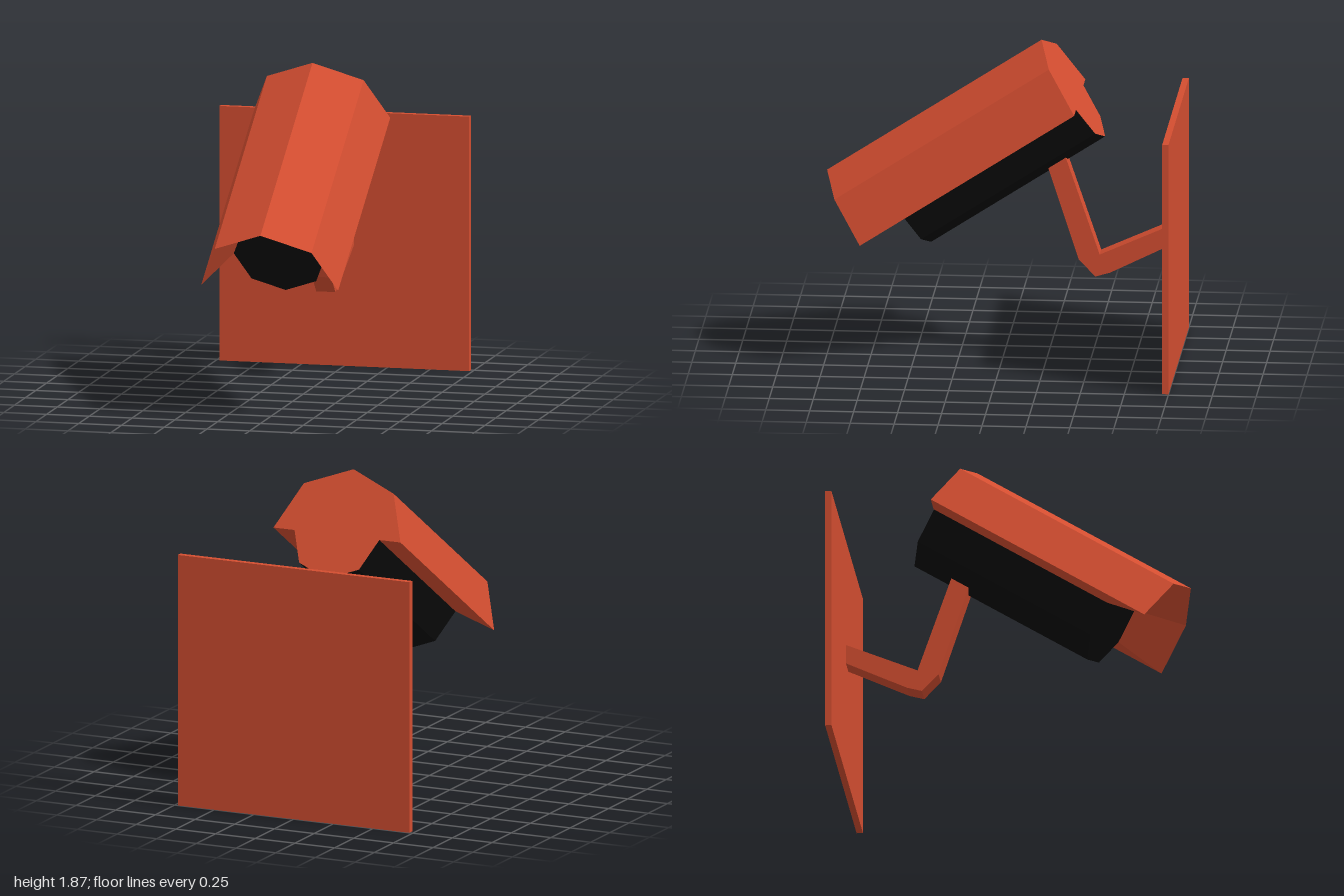
import * as THREE from 'three';

const paint = new THREE.MeshStandardMaterial({ color: 0xd24d30, flatShading: true });
const black = new THREE.MeshStandardMaterial({ color: 0x0b0b0b, flatShading: true });

const SHADE_R = 0.4, SHADE_LEN = 1.453;
const BODY_R = 0.267, BODY_LEN = 1.18;

function part(name, geometry, material, parent) {
  const mesh = new THREE.Mesh(geometry, material);
  mesh.name = name;
  parent.add(mesh);
  return mesh;
}

// Upper half of an octagon, from +x over the top to -x
function halfOctagon(r, z) {
  return Array.from({ length: 5 }, (_, i) => {
    const a = (i * Math.PI) / 4;
    return [r * Math.cos(a), r * Math.sin(a), z];
  });
}

// Sunshade: half rings joined from the back of the body, round the outside,
// then sloping in from the front rim to the face of the body
function shadeGeometry() {
  const rings = [
    halfOctagon(BODY_R, 0),
    halfOctagon(SHADE_R, 0),
    halfOctagon(SHADE_R, SHADE_LEN),
    halfOctagon(BODY_R, BODY_LEN),
  ];
  const pos = [];
  const quad = (a, b, c, d) => pos.push(...a, ...b, ...c, ...a, ...c, ...d);
  for (let j = 0; j < 3; j++) {
    for (let i = 0; i < 4; i++) {
      quad(rings[j][i], rings[j][i + 1], rings[j + 1][i + 1], rings[j + 1][i]);
    }
  }
  // Flat undersides on both sides
  quad(...rings.map((r) => r[0]));
  quad(...rings.map((r) => r[4]).reverse());
  const geo = new THREE.BufferGeometry();
  geo.setAttribute('position', new THREE.Float32BufferAttribute(pos, 3));
  geo.computeVertexNormals();
  return geo;
}

export function createModel() {
  const model = new THREE.Group();
  model.name = 'securityCamera';

  // Wall plate
  part('wallPlate', new THREE.BoxGeometry(1.46, 1.465, 0.036), paint, model)
    .position.set(0, 0.7325, -0.982);

  // Bent arm, side profile as (z, y)
  const profile = [
    [-0.24, 1.2], [-0.435, 0.6], [-0.53, 0.5], [-0.615, 0.525],
    [-0.97, 0.7], [-0.97, 0.815], [-0.555, 0.63], [-0.34, 1.26],
  ].map(([z, y]) => new THREE.Vector2(z, y));
  const arm = new THREE.ExtrudeGeometry(new THREE.Shape(profile), { depth: 0.112, bevelEnabled: false });
  arm.rotateY(-Math.PI / 2).translate(0.056, 0, 0);
  part('arm', arm, paint, model);

  // Camera head, tilted down; its origin is the back end of the axis
  const head = new THREE.Group();
  head.name = 'cameraHead';
  head.position.set(0, 1.534, -0.437);
  head.rotation.x = THREE.MathUtils.degToRad(32.9);
  model.add(head);

  const body = new THREE.CylinderGeometry(BODY_R, BODY_R, BODY_LEN - 0.003, 8);
  body.rotateX(Math.PI / 2).translate(0, 0, BODY_LEN / 2 + 0.0015);
  part('body', body, black, head);

  part('rearCap', new THREE.CircleGeometry(BODY_R, 8).rotateY(Math.PI), paint, head);
  part('sunshade', shadeGeometry(), paint, head);

  return model;
}
